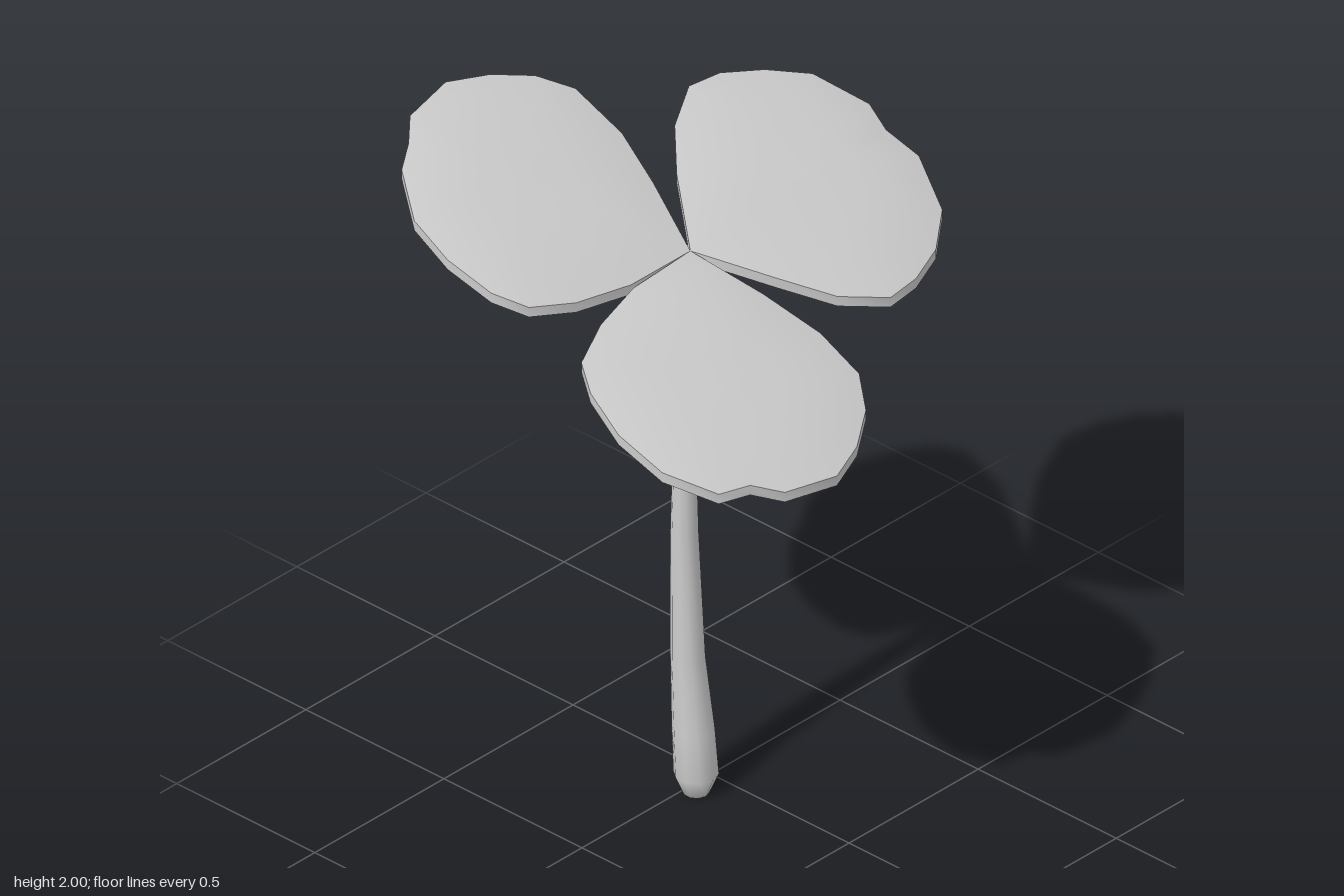
import * as THREE from 'three';

const TIP = [0, 0.08]; // where the three leaves meet (x, z)
const plane = (x) => 1.665 - 0.475 * x; // the whole crown tilts down towards +x

// Surface lofted from loops of points; every loop has the same count.
function loft(loops) {
  const n = loops[0].length, index = [];
  for (let i = 0; i + 1 < loops.length; i++) {
    for (let j = 0; j < n; j++) {
      const a = i * n + j, b = i * n + (j + 1) % n;
      index.push(a, b, a + n, b, b + n, a + n);
    }
  }
  const g = new THREE.BufferGeometry();
  g.setAttribute('position', new THREE.Float32BufferAttribute(loops.flat(2), 3));
  g.setIndex(index);
  g.computeVertexNormals();
  return g;
}

// Leaf outlines in plan (x, z), clockwise from above or reversed as needed
const outlines = {
  backLeaf: [TIP, [0.17, -0.07], [0.29, -0.18], [0.36, -0.31], [0.35, -0.42], [0.31, -0.54],
    [0.23, -0.65], [0.08, -0.72], [-0.02, -0.7], [-0.1, -0.72], [-0.24, -0.65], [-0.31, -0.54],
    [-0.36, -0.42], [-0.37, -0.31], [-0.3, -0.18], [-0.19, -0.07]],
  rightLeaf: [TIP, [-0.2, 0.01], [-0.35, -0.03], [-0.51, -0.02], [-0.59, 0.05], [-0.65, 0.16],
    [-0.69, 0.29], [-0.66, 0.46], [-0.6, 0.53], [-0.55, 0.61], [-0.42, 0.7], [-0.29, 0.71],
    [-0.16, 0.68], [-0.08, 0.62], [-0.03, 0.49], [0, 0.31]],
  leftLeaf: [TIP, [0.01, 0.31], [0.05, 0.48], [0.11, 0.62], [0.19, 0.67], [0.32, 0.7],
    [0.46, 0.68], [0.58, 0.59], [0.6, 0.49], [0.66, 0.42], [0.69, 0.25], [0.65, 0.13],
    [0.58, 0.02], [0.49, -0.05], [0.35, -0.05], [0.19, 0]],
};

function makeLeaf(name, outline, material) {
  const n = outline.length;
  const cx = outline.reduce((s, p) => s + p[0], 0) / n;
  const cz = outline.reduce((s, p) => s + p[1], 0) / n;
  // Outline shrunk to t about the leaf centre, lifted off the tilted plane
  const ring = (t, lift) => outline.map(([x, z]) => {
    const px = cx + (x - cx) * t, pz = cz + (z - cz) * t;
    return [px, plane(px) + lift, pz];
  });
  const steps = [1, 0.85, 0.65, 0.4, 0.001];
  const top = steps.map((t) => ring(t, 0.015 + 0.025 * (1 - t ** 3)));
  const bottom = steps.map((t) => ring(t, -0.015 - 0.01 * (1 - t ** 3))).reverse();
  const rim = [ring(1, -0.015), ring(1, 0.015)];

  const leaf = new THREE.Group();
  leaf.name = name;
  for (const [part, loops] of [['Top', top], ['Underside', bottom], ['Rim', rim]]) {
    const mesh = new THREE.Mesh(loft(loops), material);
    mesh.name = name + part;
    leaf.add(mesh);
  }
  return leaf;
}

export function createModel() {
  const model = new THREE.Group();
  model.name = 'threeLeafSprout';
  const material = new THREE.MeshStandardMaterial({ color: 0xcccccc, side: THREE.DoubleSide });

  // Leaves: all outlines run anticlockwise seen from above
  for (const [name, outline] of Object.entries(outlines)) {
    const area = outline.reduce((s, [x, z], i) => {
      const [x2, z2] = outline[(i + 1) % outline.length];
      return s + x * z2 - x2 * z;
    }, 0);
    model.add(makeLeaf(name, area > 0 ? outline.slice().reverse() : outline, material));
  }

  // Stem: gently bent taper, rows are [y, centre x, radius]
  const rows = [[0.005, 0.03, 0.001], [0.005, 0.03, 0.036], [0.065, 0.03, 0.061], [0.2, 0.02, 0.058],
    [0.42, 0.0, 0.047], [0.8, -0.012, 0.038], [1.2, -0.012, 0.028], [1.45, -0.007, 0.02],
    [1.665, 0, 0.01], [1.67, 0, 0.001]];
  const sides = 10;
  const loops = rows.map(([y, x, r]) => Array.from({ length: sides }, (_, j) => {
    const a = (j / sides) * Math.PI * 2;
    return [x + r * Math.cos(a), y, 0.09 - r * Math.sin(a)];
  }));
  const stem = new THREE.Mesh(loft(loops), material);
  stem.name = 'stem';
  model.add(stem);

  return model;
}
